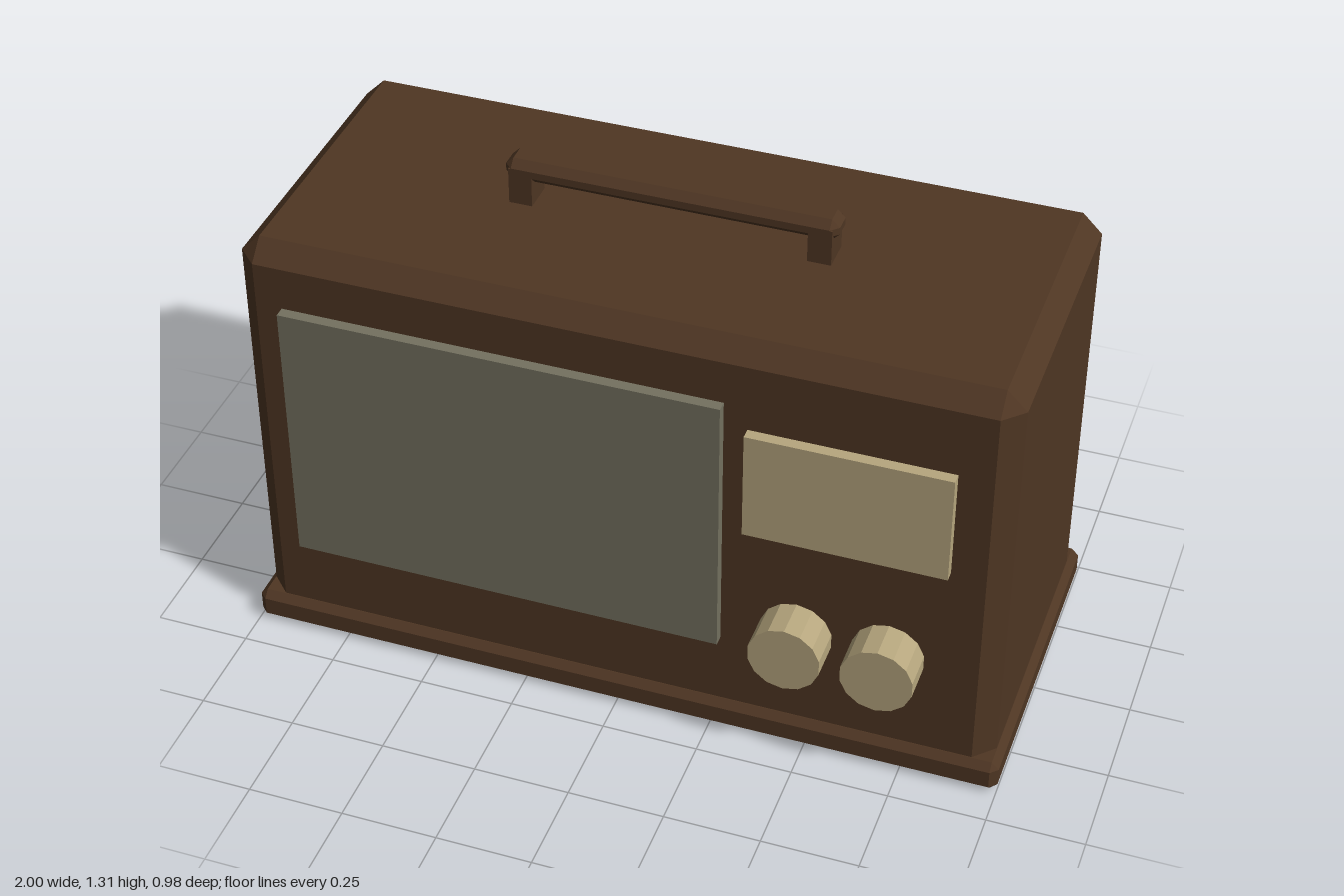
import * as THREE from 'three';
import { ConvexGeometry } from 'three/addons/geometries/ConvexGeometry.js';

const wood = new THREE.MeshStandardMaterial({ color: 0x4f3623 });
wood.name = 'dark brown';
const cloth = new THREE.MeshStandardMaterial({ color: 0x747160 });
cloth.name = 'grey green';
const cream = new THREE.MeshStandardMaterial({ color: 0xb6a67e });
cream.name = 'cream';

export function createModel() {
  const radio = new THREE.Group();
  radio.name = 'tabletopRadio';

  function add(name, geometry, material, x = 0, y = 0, z = 0) {
    const mesh = new THREE.Mesh(geometry, material);
    mesh.name = name;
    mesh.position.set(x, y, z);
    radio.add(mesh);
    return mesh;
  }

  // Box given by its limits on each axis
  function box(name, material, [x0, x1], [y0, y1], [z0, z1]) {
    return add(name, new THREE.BoxGeometry(x1 - x0, y1 - y0, z1 - z0), material,
      (x0 + x1) / 2, (y0 + y1) / 2, (z0 + z1) / 2);
  }

  // Box with every edge cut back by c
  function chamferBox(name, material, [x0, x1], [y0, y1], [z0, z1], c) {
    const half = [(x1 - x0) / 2, (y1 - y0) / 2, (z1 - z0) / 2];
    const points = [];
    for (const sx of [-1, 1]) for (const sy of [-1, 1]) for (const sz of [-1, 1]) {
      for (let axis = 0; axis < 3; axis++) {
        const [x, y, z] = half.map((h, i) => (i === axis ? h : h - c));
        points.push(new THREE.Vector3(sx * x, sy * y, sz * z));
      }
    }
    return add(name, new ConvexGeometry(points), material,
      (x0 + x1) / 2, (y0 + y1) / 2, (z0 + z1) / 2);
  }

  // Cabinet and plinth
  chamferBox('cabinet', wood, [-0.98, 0.98], [0.02, 1.193], [-0.467, 0.387], 0.051);
  chamferBox('base', wood, [-1, 1], [0, 0.087], [-0.488, 0.408], 0.019);

  // Carrying handle
  chamferBox('handleBar', wood, [-0.425, 0.425], [1.253, 1.312], [-0.084, 0.002], 0.02);
  for (const side of [-1, 1]) {
    const post = box(side > 0 ? 'leftHandlePost' : 'rightHandlePost', wood,
      [0.352, 0.412], [1.18, 1.29], [-0.084, 0.002]);
    post.position.x *= side;
  }

  // Speaker cloth and tuning dial
  box('speakerPanel', cloth, [-0.86, 0.273], [0.29, 1.026], [0.38, 0.416]);
  box('tuningDial', cream, [0.332, 0.842], [0.664, 0.961], [0.38, 0.416]);

  // Faceted control knobs
  const knob = new THREE.CylinderGeometry(0.093, 0.093, 0.11, 14).toNonIndexed();
  knob.computeVertexNormals();
  knob.rotateX(Math.PI / 2);
  add('volumeKnob', knob, cream, 0.467, 0.361, 0.436);
  add('tuningKnob', knob, cream, 0.701, 0.361, 0.436);

  return radio;
}
